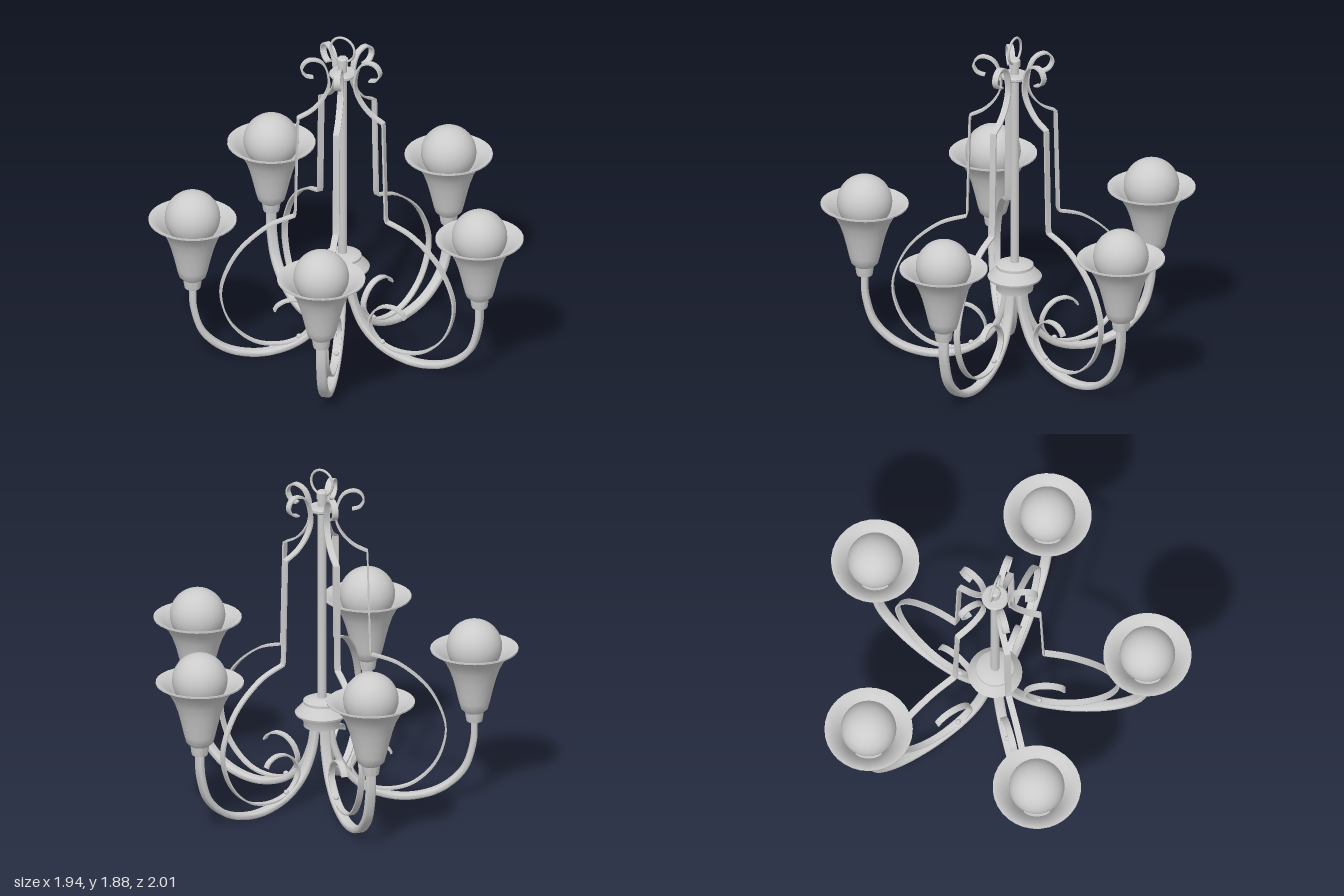
import * as THREE from 'three';
import { toCreasedNormals } from 'three/addons/utils/BufferGeometryUtils.js';

const ARMS = 5, AXIS_X = -0.075, LAMP_R = 0.81;
const material = new THREE.MeshStandardMaterial({ color: 0xcccccc, side: THREE.DoubleSide });

function mesh(name, geometry, parent, x = 0, y = 0, z = 0) {
  const m = new THREE.Mesh(geometry, material);
  m.name = name;
  m.position.set(x, y, z);
  parent.add(m);
  return m;
}

const vectors = (list) => list.map(([x, y]) => new THREE.Vector2(x, y));
const smooth = (list, n) => new THREE.SplineCurve(vectors(list)).getPoints(n);
const lathe = (list, sides) =>
  toCreasedNormals(new THREE.LatheGeometry(vectors(list), sides), 0.6);

// Flat bar of given thickness following a path in the xy plane, with its width along z
function bar(path, thickness, width, bevel) {
  const offset = (side) => path.map((p, i) => {
    const a = path[Math.max(i - 1, 0)], b = path[Math.min(i + 1, path.length - 1)];
    const t = b.clone().sub(a).normalize().multiplyScalar(side * thickness / 2);
    return new THREE.Vector2(p.x - t.y, p.y + t.x);
  });
  const shape = new THREE.Shape([...offset(-1), ...offset(1).reverse()]);
  const geo = new THREE.ExtrudeGeometry(shape, {
    depth: width - 2 * bevel, bevelEnabled: bevel > 0, bevelSize: bevel,
    bevelThickness: bevel, bevelOffset: -bevel, bevelSegments: 3,
  });
  geo.translate(0, 0, -width / 2 + bevel);
  return toCreasedNormals(geo, 0.6);
}

export function createModel() {
  const model = new THREE.Group();
  model.name = 'chandelier';
  const body = new THREE.Group();
  body.name = 'body';
  body.position.x = AXIS_X;
  model.add(body);

  // Central column, hub, collar and hanging ring
  mesh('centralRod', new THREE.CylinderGeometry(0.024, 0.024, 1.2, 20), body, 0, 1.15);
  mesh('rodCap', lathe([[0, 1.72], [0.03, 1.72], [0.03, 1.755], [0.02, 1.765], [0, 1.765]], 20), body);
  mesh('hub', lathe([[0, 0.425], [0.098, 0.425], [0.1, 0.45], [0.118, 0.487], [0.142, 0.492],
    [0.145, 0.503], [0.108, 0.545], [0.1, 0.555], [0.1, 0.57], [0.068, 0.585], [0, 0.585]], 32), body);
  mesh('collar', lathe([[0, 1.65], [0.064, 1.65], [0.072, 1.658], [0.072, 1.67],
    [0.064, 1.678], [0, 1.678]], 24), body);
  mesh('hangingRing', new THREE.TorusGeometry(0.07, 0.007, 8, 40), body, 0, 1.81);

  // Arm path from the hub down and out to the lamp
  const armPath = smooth([[0.045, 0.44], [0.067, 0.3], [0.135, 0.16], [0.26, 0.06], [0.44, 0.02],
    [0.62, 0.06], [0.75, 0.17], [0.803, 0.32], [LAMP_R, 0.46]], 64);
  const armGeo = bar(armPath, 0.035, 0.055, 0.012);

  // Scroll strip: top curl, upright, then the large lower loop with its end curl
  const stripPath = [
    ...smooth([[0.16, 1.66], [0.2, 1.672], [0.222, 1.71], [0.205, 1.75], [0.165, 1.765],
      [0.115, 1.745], [0.085, 1.69], [0.075, 1.6], [0.105, 1.525], [0.165, 1.46], [0.24, 1.42]], 60),
    ...smooth([[0.242, 1.4], [0.256, 0.85]], 3),
    ...smooth([[0.262, 0.83], [0.41, 0.775], [0.56, 0.645], [0.645, 0.48], [0.653, 0.345],
      [0.595, 0.2], [0.48, 0.095], [0.345, 0.064], [0.225, 0.095], [0.16, 0.185], [0.18, 0.262],
      [0.235, 0.31], [0.3, 0.318], [0.35, 0.295], [0.37, 0.265]], 90),
  ];
  const stripGeo = bar(stripPath, 0.01, 0.034, 0);

  // Thin bell shade and round bulb
  const shadeGeo = lathe([[0, 0.448], [0.042, 0.448], [0.045, 0.46], [0.05, 0.5], [0.072, 0.52],
    [0.083, 0.56], [0.097, 0.62], [0.115, 0.69], [0.136, 0.75], [0.163, 0.8], [0.2, 0.837],
    [0.235, 0.855], [0.235, 0.864], [0.228, 0.864], [0.192, 0.843], [0.153, 0.805],
    [0.126, 0.75], [0.1, 0.67], [0.075, 0.56], [0, 0.54]], 32);
  const bulbGeo = new THREE.SphereGeometry(0.148, 32, 20);
  const rivetGeo = new THREE.SphereGeometry(0.015, 12, 8);

  for (let i = 0; i < ARMS; i++) {
    const branch = new THREE.Group();
    branch.name = `branch${i + 1}`;
    branch.rotation.y = (i * Math.PI * 2) / ARMS;
    body.add(branch);
    mesh('arm', armGeo, branch);
    mesh('scrollStrip', stripGeo, branch);
    mesh('rivet', rivetGeo, branch, 0.235, 0.097);
    mesh('shade', shadeGeo, branch, LAMP_R);
    mesh('bulb', bulbGeo, branch, LAMP_R, 0.873);
  }
  return model;
}
